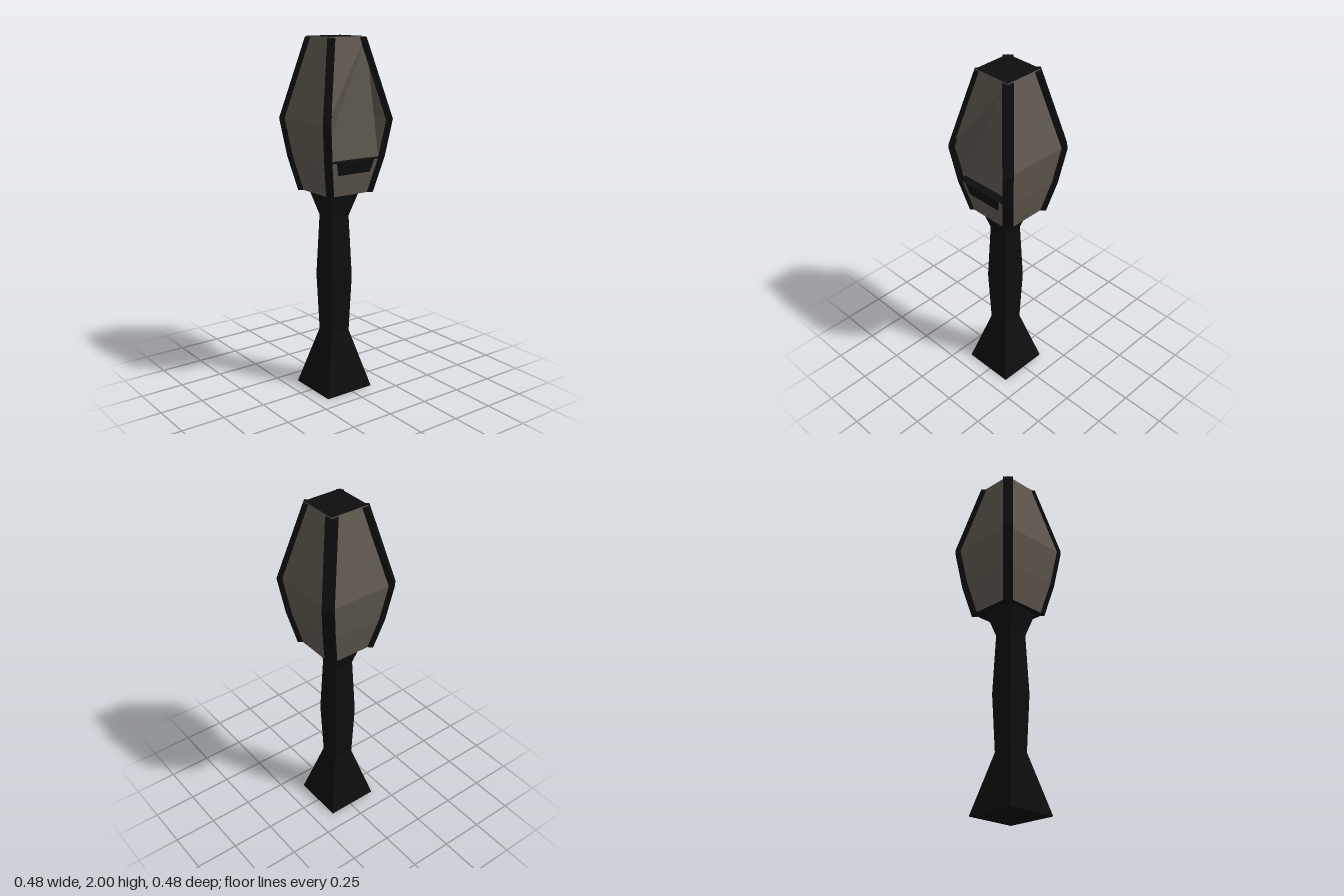
import * as THREE from 'three';

const dark = new THREE.MeshStandardMaterial({ color: 0x0e0e0e, flatShading: true, side: THREE.DoubleSide });
const grey = new THREE.MeshStandardMaterial({ color: 0x5f584f, flatShading: true, side: THREE.DoubleSide });

// Flat-sided mesh from polygons, each a convex loop of [x, y, z] corners
function facets(name, polygons, material) {
  const points = [];
  for (const p of polygons)
    for (let i = 1; i < p.length - 1; i++) points.push(...p[0], ...p[i], ...p[i + 1]);
  const geometry = new THREE.BufferGeometry();
  geometry.setAttribute('position', new THREE.Float32BufferAttribute(points, 3));
  geometry.computeVertexNormals();
  const mesh = new THREE.Mesh(geometry, material);
  mesh.name = name;
  return mesh;
}

// Square ring, counter-clockwise from above, starting at the front -x corner
const square = (y, h, cx = 0, cz = 0) =>
  [[-1, 1], [1, 1], [1, -1], [-1, -1]].map(([sx, sz]) => [cx + sx * h, y, cz + sz * h]);

// Closed skin over a stack of four-cornered rings
function loft(name, rings, material) {
  const polygons = [[...rings[0]].reverse(), rings[rings.length - 1]];
  for (let k = 0; k < rings.length - 1; k++)
    for (let i = 0; i < 4; i++) {
      const j = (i + 1) % 4;
      polygons.push([rings[k][i], rings[k][j], rings[k + 1][j], rings[k + 1][i]]);
    }
  return facets(name, polygons, material);
}

export function createModel() {
  const model = new THREE.Group();

  // Handle: flared foot, swelling grip, flared neck
  const handleProfile = [[0, 0.153], [0.34, 0.06], [0.67, 0.072], [1.02, 0.058], [1.165, 0.1]];
  model.add(loft('handle', handleProfile.map(([y, h]) => square(y, h, 0.005, 0.016)), dark));

  // Head: [height, half width] of each ring
  const headProfile = [[1.16, 0.145], [1.35, 0.187], [1.56, 0.217], [2, 0.113]];
  const rings = headProfile.map(([y, h]) => square(y, h));
  const [low, sill, mid, top] = rings;

  // Three plain faces
  for (const [i, name] of [[0, 'frontPanel'], [2, 'backPanel'], [3, 'rightPanel']]) {
    const j = (i + 1) % 4;
    const bands = [0, 1, 2].map(k => [rings[k][i], rings[k][j], rings[k + 1][j], rings[k + 1][i]]);
    model.add(facets(name, bands, grey));
  }

  // Folded left face, drawn in towards the slot
  const slotFront = [0.14, 1.35, 0.187], slotBack = [0.14, 1.35, -0.187];
  model.add(facets('leftPanel', [
    [low[1], low[2], sill[2], sill[1]],
    [top[2], top[1], mid[1]],
    [top[2], mid[1], slotFront],
    [top[2], slotFront, slotBack],
  ], grey));
  model.add(facets('slotLedge', [[slotFront, sill[1], sill[2], slotBack]], dark));

  // Dark slot insert, narrower at the bottom
  const slotRing = (y, x, w) =>
    [[0.14, y, w + 0.005], [x, y, w + 0.005], [x, y, 0.005 - w], [0.14, y, 0.005 - w]];
  model.add(loft('slot', [slotRing(1.28, 0.175, 0.105), slotRing(1.352, 0.191, 0.125)], dark));

  // Lid and underside
  model.add(facets('lid', [top], dark));
  model.add(facets('underside', [[...low].reverse()], dark));

  // Corner posts: rectangular bars set on the diagonals, following the head
  const posts = [[-1, 1, 0.02], [1, 1, 0.014], [1, -1, 0.02], [-1, -1, 0.022]];
  for (const [sx, sz, w] of posts) {
    const postRings = headProfile.map(([y, h]) => {
      const outer = h + 0.002, inner = h - 0.02;
      const py = Math.min(y, 1.995);
      const ring = [[inner - w, inner + w], [outer - w, outer + w], [outer + w, outer - w], [inner + w, inner - w]]
        .map(([x, z]) => [sx * x, py, sz * z]);
      return sx * sz > 0 ? ring : ring.reverse();
    });
    model.add(loft('cornerPost', postRings, dark));
  }
  return model;
}
